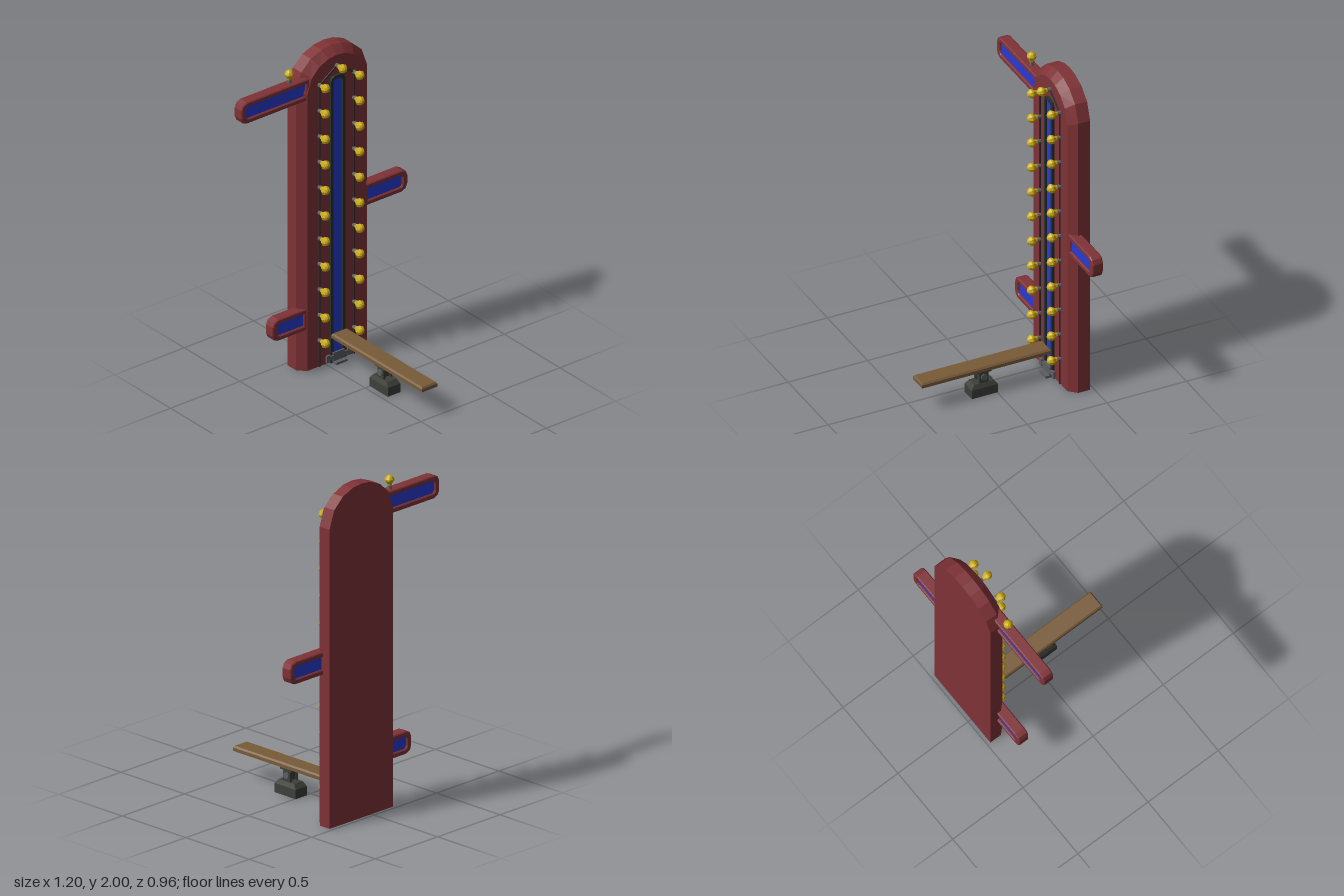
import * as THREE from 'three';

const mat = (name, color, opts = {}) =>
  new THREE.MeshStandardMaterial({ name, color, flatShading: true, ...opts });

export function createModel() {
  const red = mat('dark red', 0x7f3236);
  const blue = mat('blue', 0x2a3ad2);
  const yellow = mat('yellow', 0xc9a90c);
  const wood = mat('wood', 0x785b38);
  const iron = mat('dark iron', 0x3d3f39);
  const steel = mat('steel grey', 0x5b5f63);
  const trim = mat('dark trim', 0x26302e);

  const root = new THREE.Group();
  root.name = 'strengthTester';
  const CX = 0.08; // tower centre line
  const FRONT = -0.357; // tower front face

  const add = (name, geo, material, x = 0, y = 0, z = 0, parent = root) => {
    const m = new THREE.Mesh(geo, material);
    m.name = name;
    m.position.set(x, y, z);
    parent.add(m);
    return m;
  };
  const box = (name, w, h, d, material, x, y, z) =>
    add(name, new THREE.BoxGeometry(w, h, d), material, x, y, z);

  // Joins closed rings (counter-clockwise about the loft direction) and caps both ends
  function loft(rings) {
    const pos = [];
    const tri = (a, b, c) => pos.push(...a, ...b, ...c);
    const n = rings[0].length;
    for (let r = 0; r < rings.length - 1; r++) {
      const a = rings[r], b = rings[r + 1];
      for (let k = 0; k < n; k++) {
        const j = (k + 1) % n;
        tri(a[k], a[j], b[j]);
        tri(a[k], b[j], b[k]);
      }
    }
    const last = rings[rings.length - 1], first = rings[0];
    for (let k = 1; k < n - 1; k++) {
      tri(last[0], last[k], last[k + 1]);
      tri(first[0], first[k + 1], first[k]);
    }
    const g = new THREE.BufferGeometry();
    g.setAttribute('position', new THREE.Float32BufferAttribute(pos, 3));
    g.computeVertexNormals();
    return g;
  }

  // Tower: arched slab with a sloping front border
  const half = [[0.255, 0], [0.255, 1.79], [0.217, 1.897], [0.148, 1.96], [0.07, 1.992], [0, 2]];
  const outline = [...half, ...half.slice(0, -1).reverse().map(([x, y]) => [-x, y])];
  const full = z => outline.map(([x, y]) => [CX + x, y, z]);
  const inset = z => outline.map(([x, y]) =>
    [CX + x * 0.824, y === 0 ? 0 : 1.955 - (2 - y) * 0.9, z]);
  add('tower', loft([full(-0.478), full(-0.403), inset(FRONT)]), red);

  // Arched strip shape for the central track
  const strip = (w, y0, y1, c, Type = THREE.Shape) => new Type([
    [-w, y0], [w, y0], [w, y1 - c], [w - c * 0.3, y1 - c * 0.3], [w - c, y1],
    [c - w, y1], [c * 0.3 - w, y1 - c * 0.3], [-w, y1 - c],
  ].map(p => new THREE.Vector2(...p)));
  const frame = strip(0.051, 0, 1.832, 0.03);
  frame.holes.push(strip(0.034, 0.02, 1.812, 0.02, THREE.Path));
  add('trackFrame', new THREE.ExtrudeGeometry(frame, { depth: 0.015, bevelEnabled: false }),
    trim, CX, 0, FRONT);
  add('trackPanel', new THREE.ExtrudeGeometry(strip(0.036, 0.01, 1.815, 0.02),
    { depth: 0.004, bevelEnabled: false }), blue, CX, 0, FRONT);

  // Bulbs: steel socket and faceted glass, pointing up +y before rotation
  const socketGeo = new THREE.CylinderGeometry(0.011, 0.014, 0.028, 8);
  const glassGeo = new THREE.LatheGeometry([
    [0, 0.02], [0.013, 0.022], [0.016, 0.034], [0.027, 0.05], [0.028, 0.06], [0.02, 0.074], [0.009, 0.082], [0, 0.083],
  ].map(p => new THREE.Vector2(...p)), 8);
  function bulb(x, y, z, forward = true) {
    const g = new THREE.Group();
    g.name = 'bulb';
    add('bulbSocket', socketGeo, steel, 0, 0.012, 0, g);
    add('bulbGlass', glassGeo, yellow, 0, 0, 0, g);
    g.position.set(x, y, z);
    if (forward) g.rotation.x = Math.PI / 2;
    root.add(g);
  }
  const BX = 0.124;
  for (let i = 0; i < 11; i++) {
    for (const s of [-1, 1]) bulb(CX + s * BX, 0.17 + i * 0.1635, FRONT);
  }
  bulb(CX, 1.89, FRONT);

  // Wire linking the bulbs
  const wirePts = [[-BX, 0], [-BX, 1.805], [0, 1.89], [BX, 1.805], [BX, 0]];
  for (let i = 0; i < 4; i++) {
    const [x0, y0] = wirePts[i], [x1, y1] = wirePts[i + 1];
    const len = Math.hypot(x1 - x0, y1 - y0);
    const w = box('wire', 0.008, len, 0.008, trim, CX + (x0 + x1) / 2, (y0 + y1) / 2, FRONT + 0.003);
    w.rotation.z = Math.atan2(y1 - y0, x1 - x0) - Math.PI / 2;
  }

  // Side signs: bevelled red frames with a blue panel through both faces
  function sign(name, rootX, tipX, y) {
    const L = Math.abs(tipX - rootX);
    const tab = (x0, x1, h, c, Type) => new Type([
      [x0, -h], [x1 - c, -h], [x1 - c * 0.3, -h + c * 0.3], [x1, -h + c],
      [x1, h - c], [x1 - c * 0.3, h - c * 0.3], [x1 - c, h], [x0, h],
    ].map(p => new THREE.Vector2(...p)));
    const shape = tab(0, L - 0.006, 0.062, 0.036, THREE.Shape);
    shape.holes.push(tab(0.012, L - 0.03, 0.044, 0.022, THREE.Path));
    const g = new THREE.Group();
    g.name = name;
    add('signFrame', new THREE.ExtrudeGeometry(shape, {
      depth: 0.056, bevelThickness: 0.006, bevelSize: 0.006, bevelSegments: 1,
    }), red, 0, 0, -0.028, g);
    add('signPanel', new THREE.BoxGeometry(L - 0.04, 0.09, 0.044), blue, L / 2 - 0.008, 0, 0, g);
    g.position.set(rootX, y, -0.395);
    if (tipX < rootX) g.rotation.y = Math.PI;
    root.add(g);
  }
  sign('upperRightSign', -0.115, -0.6, 1.798);
  sign('leftSign', 0.295, 0.597, 0.978);
  sign('lowerRightSign', -0.13, -0.375, 0.328);
  bulb(-0.23, 1.866, -0.395, false);

  // Horizontal rectangle ring, for lofts going up
  const rect = (w, z0, z1, y) => [
    [CX - w, y, z1], [CX + w, y, z1], [CX + w, y, z0], [CX - w, y, z0],
  ];
  // Seesaw plank with a chamfered top
  add('plank', loft([rect(0.056, -0.335, 0.478, 0.168), rect(0.056, -0.335, 0.478, 0.188),
    rect(0.048, -0.327, 0.47, 0.198)]), wood);

  // Pivot: tapered foot, fork cheeks, pin and saddle
  add('pivotFoot', loft([rect(0.045, -0.005, 0.16, 0), rect(0.045, -0.005, 0.16, 0.055),
    rect(0.034, 0.016, 0.139, 0.082)]), iron);
  for (const s of [-1, 1]) {
    box('pivotCheek', 0.014, 0.07, 0.055, iron, CX + s * 0.026, 0.108, 0.078);
  }
  box('pivotTongue', 0.032, 0.06, 0.045, iron, CX, 0.122, 0.078);
  box('pivotSaddle', 0.08, 0.02, 0.09, iron, CX, 0.159, 0.078);
  const pin = add('pivotPin', new THREE.CylinderGeometry(0.02, 0.02, 0.08, 8), steel, CX, 0.118, 0.078);
  pin.rotation.z = Math.PI / 2;

  // Steel bracket at the tower's foot
  box('bracketBar', 0.17, 0.022, 0.01, steel, CX, 0.04, -0.337);
  box('bracketPlate', 0.08, 0.068, 0.01, steel, CX, 0.034, -0.337);
  box('bracketFoot', 0.08, 0.014, 0.045, steel, CX, 0.007, -0.33);
  for (const s of [-1, 1]) {
    box('bracketEnd', 0.026, 0.044, 0.012, steel, CX + s * 0.076, 0.04, -0.337);
  }
  return root;
}
